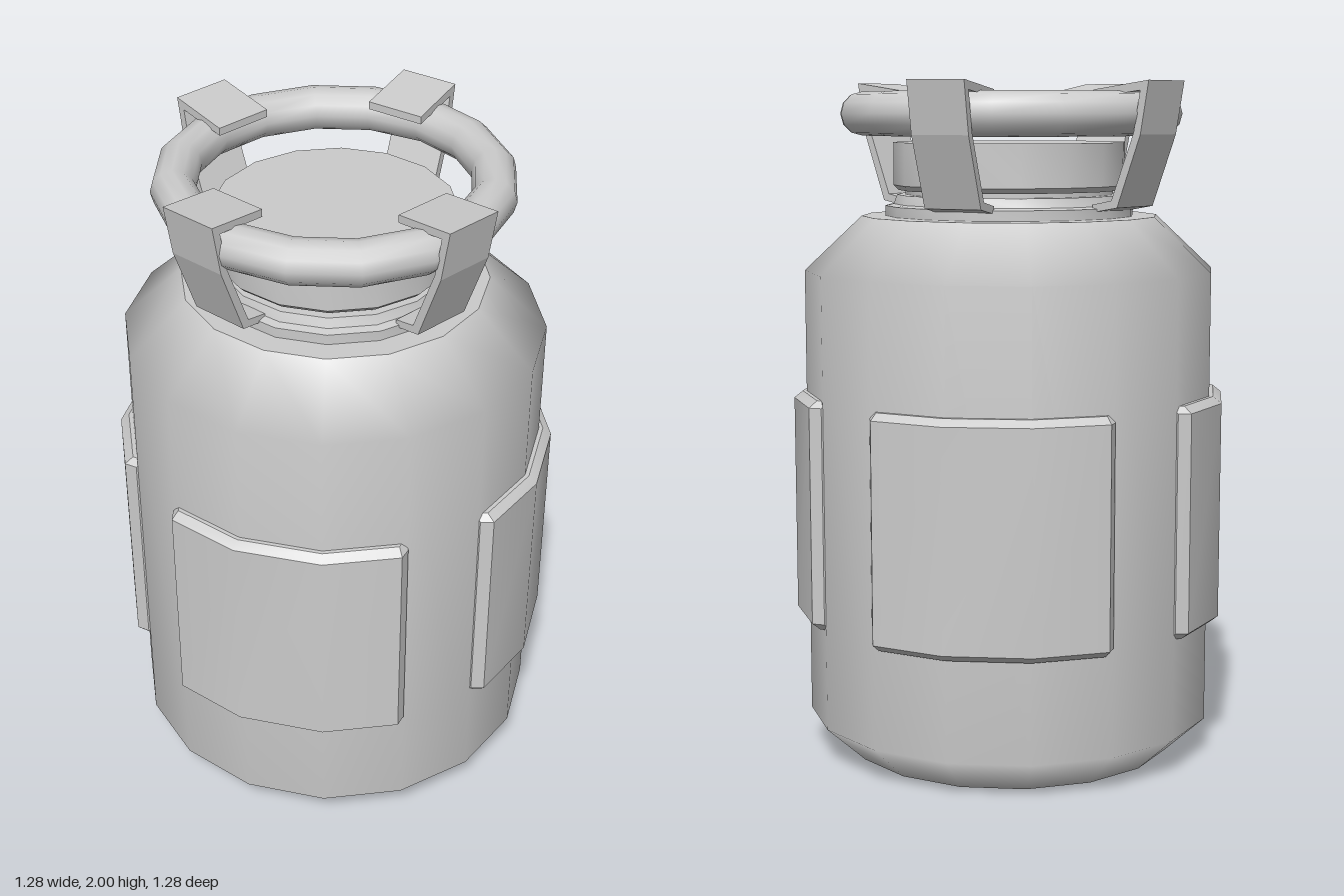
import * as THREE from 'three';
import { toCreasedNormals } from 'three/addons/utils/BufferGeometryUtils.js';

const SIDES = 16;
const DEG = Math.PI / 180;
const material = new THREE.MeshStandardMaterial({ color: 0xcccccc });

function mesh(name, geometry) {
  const m = new THREE.Mesh(geometry, material);
  m.name = name;
  return m;
}

function lathe(points) {
  return new THREE.LatheGeometry(points.map(([r, y]) => new THREE.Vector2(r, y)), SIDES);
}

// Raised label pad hugging three facets of the body, with bevelled rim
function panelGeometry() {
  const columns = [[0, 0.59], [0, 0.615], [2.5, 0.642], [22.5, 0.647], [45, 0.647], [65, 0.642], [67.5, 0.615], [67.5, 0.59]];
  const rows = [[0.41, 1], [0.41, 0.025], [0.43, 0], [1.07, 0], [1.09, 0.025], [1.09, 1]];
  const positions = [], index = [];
  for (const [y, inset] of rows) {
    for (const [angle, radius] of columns) {
      const r = Math.max(0.59, radius - inset);
      positions.push(r * Math.sin(angle * DEG), y, r * Math.cos(angle * DEG));
    }
  }
  const n = columns.length;
  for (let j = 0; j < rows.length - 1; j++) {
    for (let i = 0; i < n - 1; i++) {
      const a = j * n + i;
      index.push(a, a + 1, a + n + 1, a, a + n + 1, a + n);
    }
  }
  const g = new THREE.BufferGeometry();
  g.setAttribute('position', new THREE.Float32BufferAttribute(positions, 3));
  g.setIndex(index);
  return toCreasedNormals(g, 0.6);
}

// Bent strap: foot on the collar, leaning leg, plate over the ring.
// Profile runs along +x, measured from the strap's centre radius.
function strapGeometry() {
  const profile = [
    [-0.095, 1.975], [0.095, 2.0], [0.068, 1.85], [-0.01, 1.645], [-0.095, 1.63],
    [-0.095, 1.652], [-0.03, 1.665], [0.045, 1.855], [0.066, 1.972], [-0.095, 1.952],
  ];
  const shape = new THREE.Shape(profile.map(([x, y]) => new THREE.Vector2(x, y)));
  const g = new THREE.ExtrudeGeometry(shape, { depth: 0.174, bevelEnabled: false });
  return g.translate(0, 0, -0.087);
}

export function createModel() {
  const model = new THREE.Group();
  model.name = 'gasCanister';

  // Body with chamfered foot and shoulder
  model.add(mesh('body', lathe([[0.49, 0], [0.61, 0.11], [0.61, 1.45], [0.44, 1.61]])));
  model.add(mesh('base', lathe([[0, 0], [0.49, 0]])));
  model.add(mesh('shoulderTop', lathe([[0.44, 1.61], [0, 1.61]])));

  // Stepped collar, neck and cap
  const collar = lathe([[0.37, 1.6], [0.37, 1.64], [0.345, 1.645], [0.335, 1.672], [0.31, 1.672], [0.31, 1.7]]);
  model.add(mesh('collar', toCreasedNormals(collar, 0.5)));
  const cap = lathe([[0.3, 1.685], [0.33, 1.685], [0.345, 1.7], [0.345, 1.825], [0, 1.825]]);
  model.add(mesh('cap', toCreasedNormals(cap, 0.5)));

  // Four pads around the body
  const panel = panelGeometry();
  for (let i = 0; i < 4; i++) {
    const pad = mesh('sidePanel' + (i + 1), panel);
    pad.rotation.y = i * Math.PI / 2;
    model.add(pad);
  }

  // Carrying ring
  const ring = new THREE.TorusGeometry(0.445, 0.063, 12, SIDES);
  ring.rotateX(Math.PI / 2).rotateY(Math.PI / SIDES);
  const handle = mesh('handleRing', ring);
  handle.position.y = 1.908;
  model.add(handle);

  // Slightly irregular straps holding the ring: [name, x, z, heading]
  const strap = strapGeometry();
  const straps = [
    ['leftStrap', 0.437, -0.003, 0],
    ['frontStrap', 0.01, 0.435, -82],
    ['rightStrap', -0.44, 0.038, 180],
    ['backStrap', -0.128, -0.413, 105],
  ];
  for (const [name, x, z, heading] of straps) {
    const s = mesh(name, strap);
    s.position.set(x, 0, z);
    s.rotation.y = heading * DEG;
    model.add(s);
  }
  return model;
}
